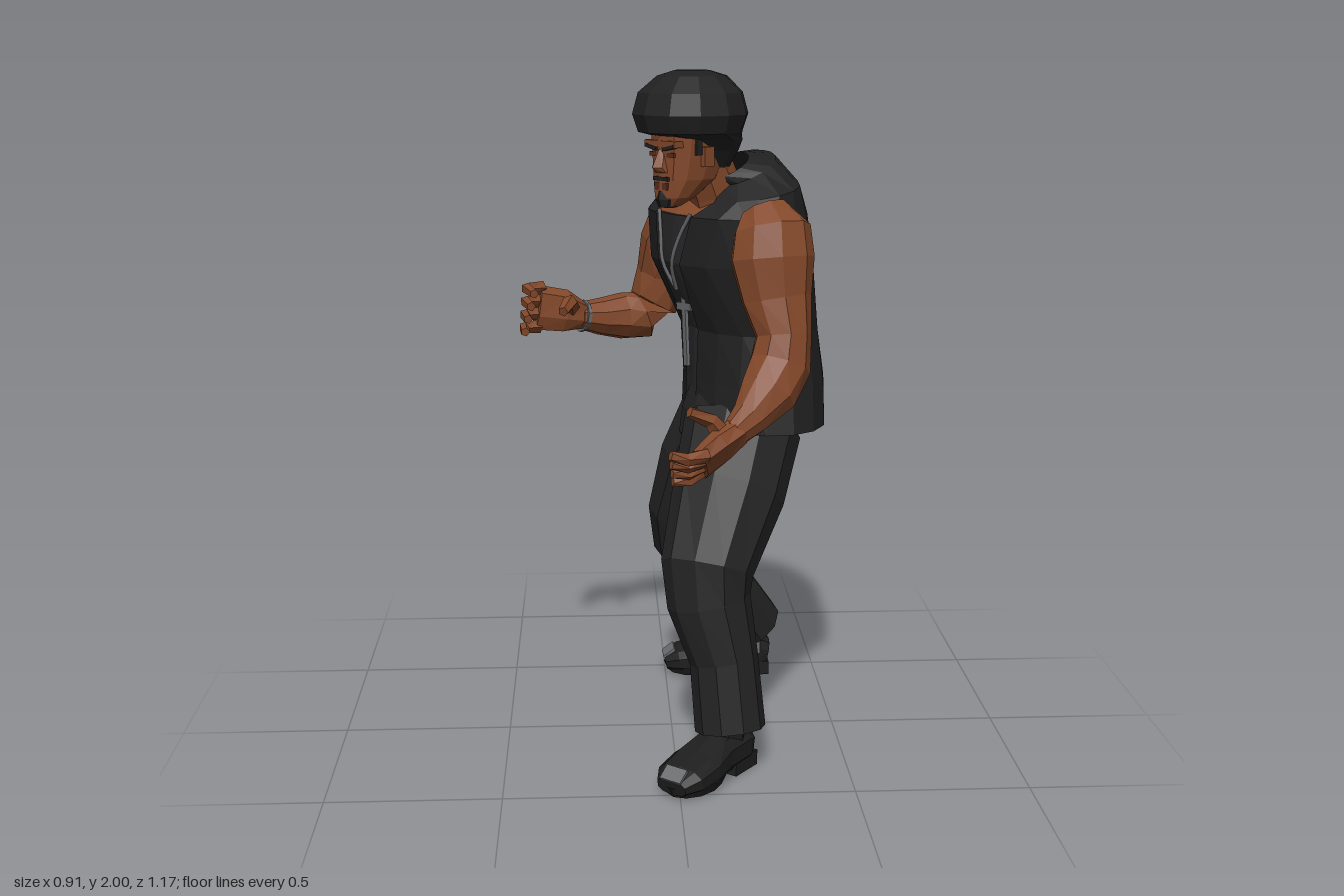
import * as THREE from 'three';

const V = (x, y, z) => new THREE.Vector3(x, y, z);
const paint = (name, color, side = THREE.FrontSide) => {
  const m = new THREE.MeshStandardMaterial({ color, side });
  m.name = name;
  return m;
};

// One cross-section: centre c, axis t, first radius a along ref, second radius b
function ring(c, t, ref, a, b, n, { e = 2, gap = 0, open = false } = {}) {
  const u = ref.clone().addScaledVector(t, -ref.dot(t)).normalize();
  const v = t.clone().cross(u);
  const pow = (k) => Math.sign(k) * Math.abs(k) ** (2 / e);
  return Array.from({ length: open ? n + 1 : n }, (_, i) => {
    const q = open ? gap + (2 * Math.PI - 2 * gap) * i / n : 2 * Math.PI * i / n;
    return c.clone().addScaledVector(u, a * pow(Math.cos(q))).addScaledVector(v, b * pow(Math.sin(q)));
  });
}

// Faceted skin over a list of rings
function skinRings(rings, open = false) {
  const pos = [];
  const tri = (...p) => p.forEach((k) => pos.push(k.x, k.y, k.z));
  const n = rings[0].length;
  for (let i = 0; i < rings.length - 1; i++) {
    const A = rings[i], B = rings[i + 1];
    for (let j = 0; j < (open ? n - 1 : n); j++) {
      const k = (j + 1) % n;
      tri(A[j], A[k], B[j]);
      tri(A[k], B[k], B[j]);
    }
  }
  if (!open) {
    const A = rings[0], B = rings[rings.length - 1];
    for (let j = 1; j < n - 1; j++) {
      tri(A[0], A[j + 1], A[j]);
      tri(B[0], B[j], B[j + 1]);
    }
  }
  const g = new THREE.BufferGeometry();
  g.setAttribute('position', new THREE.Float32BufferAttribute(pos, 3));
  g.computeVertexNormals();
  return g;
}

// Limb through rows of [x, y, z, a, b]
function limb(rows, n = 8, ref = V(1, 0, 0), opt) {
  const c = rows.map((r) => V(r[0], r[1], r[2]));
  return skinRings(rows.map((r, i) => {
    const t = c[Math.min(i + 1, c.length - 1)].clone().sub(c[Math.max(i - 1, 0)]).normalize();
    return ring(c[i], t, ref, r[3], r[4] ?? r[3], n, opt);
  }));
}

// Torso rows: [x, y, z, depth, width, turn, tilt, opening]
const TORSO = [
  [0.25, 0.97, -0.085, 0.202, 0.298, 0.27, 0, 0.14],
  [0.25, 1.10, -0.08, 0.2, 0.268, 0.3, 0, 0.14],
  [0.235, 1.25, -0.08, 0.19, 0.25, 0.38, 0, 0.16],
  [0.18, 1.45, -0.07, 0.22, 0.275, 0.5, 0, 0.2],
  [0.165, 1.59, -0.06, 0.2, 0.285, 0.56, 0, 0.3],
  [0.175, 1.66, -0.055, 0.155, 0.262, 0.56, 0.2, 0.42],
  [0.18, 1.715, -0.035, 0.12, 0.145, 0.56, 0.45, 0.6],
  [0.14, 1.725, 0.012, 0.085, 0.088, 0.58, 0.5, 0.7],
];
const forward = (turn) => V(-Math.cos(turn), 0, Math.sin(turn));
function torsoRing(r, k, n, opt) {
  const f = forward(r[5]);
  const t = V(0, 1, 0).addScaledVector(f, r[6]).normalize();
  return ring(V(r[0], r[1], r[2]), t, f, r[3] * k, r[4] * k, n, { e: 2.05, gap: r[7], ...opt });
}
// Point on the chest at a height and an angle from the breastbone
function chest(y, q, k = 1) {
  const i = TORSO.findIndex((r, j) => TORSO[j + 1][1] >= y);
  const s = (y - TORSO[i][1]) / (TORSO[i + 1][1] - TORSO[i][1]);
  const r = TORSO[i].map((p, j) => p + (TORSO[i + 1][j] - p) * s);
  const f = forward(r[5]);
  const side = V(Math.sin(r[5]), 0, Math.cos(r[5]));
  return V(r[0], y, r[2]).addScaledVector(f, r[3] * k * Math.cos(q)).addScaledVector(side, r[4] * k * Math.sin(q));
}

export function createModel() {
  const model = new THREE.Group();
  const skin = paint('skin', 0x83482a), cloth = paint('trouser cloth', 0x232324);
  const vestCloth = paint('vest cloth', 0x202021, THREE.DoubleSide);
  const shirtCloth = paint('shirt cloth', 0x28282a), hairCol = paint('hair', 0x202021);
  const leather = paint('shoe leather', 0x1e1e1f), metal = paint('grey metal', 0x6a6c6e);
  const lipCol = paint('lips', 0x5a2c1c);
  const add = (name, geo, mat, parent = model) => {
    const m = new THREE.Mesh(geo, mat);
    m.name = name;
    parent.add(m);
    return m;
  };
  const box = (name, w, h, d, x, y, z, mat, parent) => {
    const m = add(name, new THREE.BoxGeometry(w, h, d), mat, parent);
    m.position.set(x, y, z);
    return m;
  };

  // Torso, open vest and shirt
  add('vest', skinRings(TORSO.map((r) => torsoRing(r, 1, 16, { open: true })), true), vestCloth);
  add('shirt', skinRings(TORSO.slice(0, 5).map((r) => torsoRing(r, 0.95, 16))), shirtCloth);
  add('upperChest', skinRings(TORSO.slice(4, 6).map((r) => torsoRing(r, 0.88, 14))), skin);
  add('neck', limb([[0.16, 1.56, 0, 0.09], [0.125, 1.66, 0.025, 0.078], [0.085, 1.77, 0.055, 0.072]]), skin);

  // Neck chain and pendant
  for (const s of [1, -1]) {
    const path = new THREE.CatmullRomCurve3([[1.6, 0.28], [1.53, 0.17], [1.45, 0.09], [1.37, 0.01]]
      .map(([y, q]) => chest(y, q * s, 1.01)));
    add('neckChain', new THREE.TubeGeometry(path, 10, 0.006, 5), metal);
  }
  const pendant = new THREE.Group();
  pendant.name = 'pendant';
  pendant.position.copy(chest(1.28, 0, 1.04));
  pendant.rotation.y = 0.45 - Math.PI / 2;
  pendant.rotation.z = 0.08;
  model.add(pendant);
  box('pendantBar', 0.022, 0.22, 0.01, 0, -0.03, 0, metal, pendant);
  box('pendantArms', 0.085, 0.022, 0.01, 0, 0.035, 0, metal, pendant);

  // Hips and trouser legs
  add('hips', limb([[0.19, 0.82, -0.065, 0.1, 0.04], [0.2, 0.9, -0.07, 0.175, 0.18],
    [0.21, 0.98, -0.07, 0.175, 0.225], [0.22, 1.05, -0.07, 0.16, 0.2]], 12), cloth);
  add('leftTrouserLeg', limb([[0.21, 0.96, 0.03, 0.175, 0.14], [0.16, 0.79, 0.15, 0.165, 0.135],
    [0.09, 0.6, 0.275, 0.135, 0.106], [0.095, 0.5, 0.28, 0.122, 0.107],
    [0.138, 0.33, 0.3, 0.1, 0.102], [0.155, 0.13, 0.335, 0.103, 0.1]], 10), cloth);
  add('rightTrouserLeg', limb([[0.21, 0.96, -0.17, 0.175, 0.135], [0.135, 0.79, -0.23, 0.165, 0.122],
    [0.068, 0.6, -0.295, 0.13, 0.1], [0.075, 0.51, -0.325, 0.122, 0.1],
    [0.165, 0.35, -0.4, 0.1, 0.108], [0.29, 0.15, -0.487, 0.105, 0.108]], 10), cloth);

  // Shoes, toe along local +x
  for (const [name, x, z, turn] of [['leftShoe', 0.135, 0.33, -2.25], ['rightShoe', 0.255, -0.46, -3.12]]) {
    const shoe = new THREE.Group();
    shoe.name = name;
    shoe.position.set(x, 0, z);
    shoe.rotation.y = turn;
    model.add(shoe);
    const up = V(0, 1, 0);
    add('upper', limb([[-0.085, 0.063, 0, 0.045, 0.055], [-0.05, 0.07, 0, 0.062, 0.07],
      [0.05, 0.068, 0, 0.06, 0.07], [0.13, 0.058, 0, 0.048, 0.084],
      [0.21, 0.048, 0, 0.04, 0.078], [0.255, 0.038, 0, 0.025, 0.05]], 10, up, { e: 2.5 }), leather, shoe);
    add('ankle', limb([[-0.01, 0.07, 0, 0.068, 0.062], [-0.01, 0.2, 0, 0.06, 0.06]]), leather, shoe);
    add('frontSole', limb([[0.145, 0.005, 0, 0.1, 0.07], [0.145, 0.035, 0, 0.115, 0.083]], 12), leather, shoe);
    box('heel', 0.11, 0.045, 0.125, -0.032, 0.023, 0, leather, shoe);
    box('toePlate', 0.045, 0.009, 0.07, 0.243, 0.072, 0, metal, shoe).rotation.z = -0.65;
    // Side plates at the ankle of the trailing shoe
    if (name === 'rightShoe') {
      for (const s of [1, -1]) box('ankleSidePlate', 0.042, 0.045, 0.008, -0.035, 0.1, 0.068 * s, metal, shoe);
    }
  }

  // Bare arms
  add('leftArm', limb([[0.25, 1.62, 0.2, 0.07, 0.05], [0.268, 1.57, 0.235, 0.11, 0.08],
    [0.268, 1.49, 0.25, 0.12, 0.09], [0.28, 1.38, 0.268, 0.1, 0.076], [0.298, 1.28, 0.29, 0.08, 0.078],
    [0.288, 1.2, 0.31, 0.088, 0.082], [0.25, 1.13, 0.355, 0.082, 0.075], [0.195, 1.07, 0.405, 0.054, 0.054],
    [0.15, 1.035, 0.44, 0.038, 0.044]], 9), skin);
  add('rightArm', limb([[0.06, 1.61, -0.28, 0.06, 0.05], [0.04, 1.55, -0.315, 0.098, 0.07],
    [0.02, 1.47, -0.34, 0.104, 0.077], [-0.01, 1.36, -0.37, 0.084, 0.072], [-0.04, 1.27, -0.375, 0.08, 0.07],
    [-0.08, 1.23, -0.36, 0.08, 0.075], [-0.14, 1.23, -0.34, 0.072, 0.075], [-0.21, 1.235, -0.303, 0.057, 0.06],
    [-0.275, 1.245, -0.265, 0.04, 0.043]], 9, V(0.75, 0.65, 0)), skin);
  add('bracelet', limb([[-0.258, 1.242, -0.275, 0.05], [-0.268, 1.244, -0.269, 0.05]], 10, V(0, 1, 0)), metal);

  // Hands: palm, four fingers spread between two edges, and a thumb
  function hand(name, palm, ref, first, last, thumb) {
    const g = new THREE.Group();
    g.name = name;
    model.add(g);
    add('palm', limb(palm, 7, ref, { e: 2.6 }), skin, g);
    for (let i = 0; i < 4; i++) {
      const rows = first.map((p, j) => {
        const c = V(...p).lerp(V(...last[j]), i / 3);
        return [c.x, c.y, c.z, 0.022 - 0.004 * j];
      });
      add('finger', limb(rows, 5), skin, g);
    }
    add('thumb', limb(thumb.map((p, j) => [...p, 0.03 - 0.007 * j]), 5), skin, g);
  }
  hand('leftHand', [[0.16, 1.04, 0.435, 0.042, 0.038], [0.11, 1.005, 0.465, 0.064, 0.038],
    [0.055, 0.965, 0.495, 0.066, 0.03]], V(0, 0.75, 0.65),
  [[0.07, 1.0, 0.53], [0.015, 0.995, 0.56], [-0.03, 1.01, 0.575]],
  [[0.07, 0.945, 0.455], [0.025, 0.915, 0.475], [-0.02, 0.915, 0.49]],
  [[0.12, 1.03, 0.455], [0.085, 1.08, 0.465], [0.025, 1.11, 0.49]]);
  hand('rightHand', [[-0.265, 1.245, -0.27, 0.042, 0.038], [-0.32, 1.265, -0.235, 0.066, 0.037],
    [-0.4, 1.28, -0.205, 0.07, 0.03]], V(0, 1, 0),
  [[-0.385, 1.34, -0.215], [-0.43, 1.345, -0.175], [-0.405, 1.34, -0.1]],
  [[-0.395, 1.225, -0.205], [-0.44, 1.225, -0.175], [-0.435, 1.22, -0.125]],
  [[-0.3, 1.275, -0.235], [-0.3, 1.305, -0.16], [-0.32, 1.285, -0.1]]);

  // Head, face along local +z
  const head = new THREE.Group();
  head.name = 'head';
  head.position.set(0.05, 0, 0.08);
  head.rotation.y = -0.93;
  model.add(head);
  const stack = (rows, n, e = 2) => skinRings(rows.map(([y, z, a, b]) =>
    ring(V(0, y, z), V(0, 1, 0), V(0, 0, 1), a, b, n, { e })));
  add('face', stack([[1.625, 0.075, 0.028, 0.03], [1.65, 0.055, 0.056, 0.054], [1.7, 0.018, 0.092, 0.076],
    [1.76, 0.003, 0.108, 0.085], [1.82, -0.005, 0.12, 0.09], [1.88, 0, 0.1, 0.085]], 12, 2.4), skin, head);
  add('hair', stack([[1.73, -0.06, 0.06, 0.075], [1.78, -0.06, 0.085, 0.105], [1.81, -0.045, 0.105, 0.13],
    [1.83, 0, 0.15, 0.15], [1.88, 0, 0.167, 0.166], [1.94, 0, 0.15, 0.15], [1.985, -0.005, 0.1, 0.1],
    [2, -0.005, 0.05, 0.05]], 12), hairCol, head);
  add('goatee', stack([[1.622, 0.083, 0.026, 0.028], [1.645, 0.07, 0.047, 0.044], [1.668, 0.065, 0.048, 0.038]], 8), hairCol, head);
  add('nose', stack([[1.72, 0.1, 0.022, 0.03], [1.735, 0.104, 0.035, 0.026], [1.785, 0.093, 0.022, 0.012]], 6), skin, head);
  box('lips', 0.056, 0.02, 0.03, 0, 1.682, 0.094, lipCol, head);
  box('moustache', 0.062, 0.011, 0.03, 0, 1.703, 0.096, hairCol, head);
  box('brow', 0.13, 0.018, 0.04, 0, 1.8, 0.094, skin, head);
  for (const s of [1, -1]) {
    box('eye', 0.032, 0.012, 0.008, 0.037 * s, 1.77, 0.102, lipCol, head);
    box('eyebrow', 0.048, 0.01, 0.016, 0.038 * s, 1.79, 0.108, hairCol, head).rotation.z = 0.2 * s;
    box('ear', 0.018, 0.055, 0.035, 0.09 * s, 1.765, 0.012, skin, head);
    box('sideburn', 0.01, 0.05, 0.02, 0.084 * s, 1.795, 0.04, hairCol, head);
  }
  return model;
}
